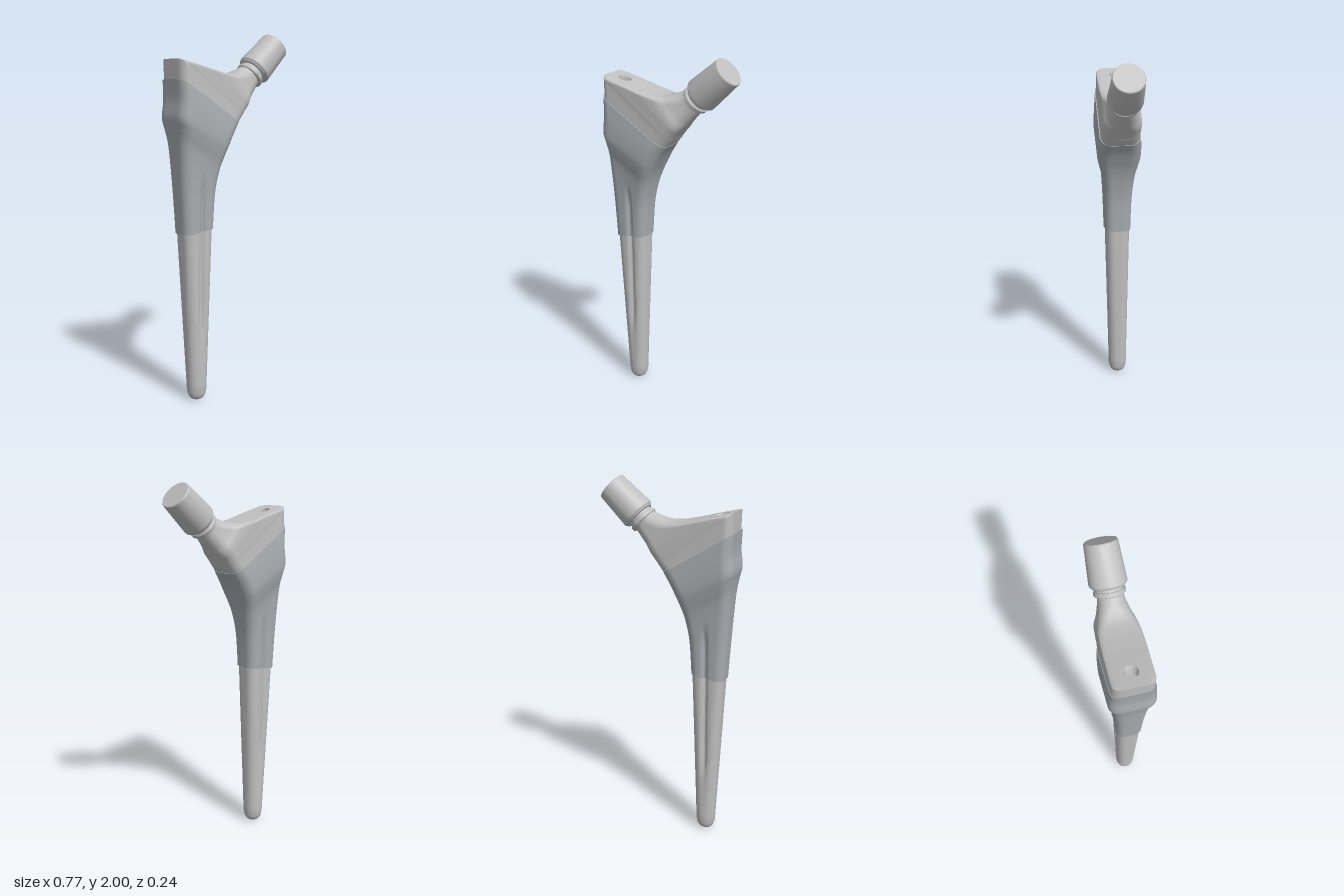
import * as THREE from 'three';
import { toCreasedNormals } from 'three/addons/utils/BufferGeometryUtils.js';

const steel = new THREE.MeshStandardMaterial({ color: 0xc0c0c0 });
steel.name = 'polished steel';
const coatingGrey = new THREE.MeshStandardMaterial({ color: 0xa8adb1 });
coatingGrey.name = 'coating grey';

const PATCH_HALF = 0.045;
const smooth = THREE.MathUtils.smoothstep;

// Long groove sunk into the front and back of the shaft
function groove(x, y) {
  const fade = smooth(y, 0.3, 0.5) * (1 - smooth(y, 1.12, 1.3));
  return 0.017 * fade * Math.exp(-(((x + 0.235) / 0.014) ** 2));
}

// One rounded-rectangle ring between a lateral and a medial point.
// Section: [lateral x, y, medial x, y, half depth, lateral radius, medial radius]
function ring([lx, ly, mx, my, d, rl, rm]) {
  const len = Math.hypot(mx - lx, my - ly);
  const a = Math.min(rl, d * 0.97, len * 0.49);
  const b = Math.min(rm, d * 0.97, len * 0.49);
  const half = [[0, Math.min(PATCH_HALF, 0.9 * (d - a))]];
  const arc = 8, side = 30;
  for (let k = 0; k <= arc; k++) {
    const t = (k / arc) * Math.PI / 2;
    half.push([a - a * Math.cos(t), d - a + a * Math.sin(t)]);
  }
  for (let k = 1; k < side; k++) half.push([a + (len - a - b) * k / side, d]);
  for (let k = 0; k <= arc; k++) {
    const t = (k / arc) * Math.PI / 2;
    half.push([len - b + b * Math.sin(t), d - b + b * Math.cos(t)]);
  }
  half.push([len, Math.min(PATCH_HALF, 0.9 * (d - b))]);
  const place = (u, z, s) => {
    const x = lx + (mx - lx) * u / len, y = ly + (my - ly) * u / len;
    const cut = z > 0.6 * d ? groove(x, y) : 0;
    return [x, y, s * (z - cut)];
  };
  return [
    ...half.map(([u, z]) => place(u, z, 1)),
    ...half.slice().reverse().map(([u, z]) => place(u, z, -1)),
  ];
}

// Smooth loft through sections; a repeated section makes a sharp corner.
// openSegment leaves out the lateral strip of that segment.
function loft(keys, steps, openSegment = -1) {
  const rows = [], open = [];
  const at = i => keys[Math.max(0, Math.min(keys.length - 1, i))];
  for (let s = 0; s < keys.length - 1; s++) {
    const [p0, p1, p2, p3] = [at(s - 1), at(s), at(s + 1), at(s + 2)];
    if (p1 === p2) continue;
    for (let k = 0; k < steps; k++) {
      const t = k / steps, t2 = t * t, t3 = t2 * t;
      rows.push(ring(p1.map((v, i) =>
        v * (2 * t3 - 3 * t2 + 1) + p2[i] * (3 * t2 - 2 * t3)
        + 0.5 * (p2[i] - p0[i]) * (t3 - 2 * t2 + t)
        + 0.5 * (p3[i] - v) * (t3 - t2))));
      open.push(s === openSegment);
    }
  }
  rows.push(ring(at(keys.length - 1)));
  const n = rows[0].length, index = [];
  const points = rows.flat();
  for (let i = 0; i < rows.length - 1; i++) {
    for (let j = 0; j < n; j++) {
      if (open[i] && j === n - 1) continue;
      const k = (j + 1) % n, p = i * n, q = p + n;
      index.push(p + j, p + k, q + k, p + j, q + k, q + j);
    }
  }
  // End caps
  [0, rows.length - 1].forEach((r, end) => {
    const c = points.length;
    points.push([0, 1, 2].map(a => rows[r].reduce((sum, p) => sum + p[a], 0) / n));
    for (let j = 0; j < n; j++) {
      const p = r * n + j, q = r * n + (j + 1) % n;
      if (end) index.push(c, p, q);
      else index.push(c, q, p);
    }
  });
  const geo = new THREE.BufferGeometry();
  geo.setAttribute('position', new THREE.Float32BufferAttribute(points.flat(), 3));
  geo.setIndex(index);
  return toCreasedNormals(geo, 0.65);
}

function part(name, geometry, material) {
  const mesh = new THREE.Mesh(geometry, material);
  mesh.name = name;
  return mesh;
}

function lathe(profile) {
  return toCreasedNormals(
    new THREE.LatheGeometry(profile.map(p => new THREE.Vector2(...p)), 56), 0.5);
}

export function createModel() {
  const group = new THREE.Group();
  group.name = 'hipStem';

  // Tapered shaft with a rounded tip
  const tipTop = [-0.287, 0.06, -0.18, 0.06, 0.053, 0.05, 0.05];
  const shaft = [
    [-0.255, 0, -0.215, 0, 0.02, 0.02, 0.02],
    [-0.272, 0.011, -0.197, 0.011, 0.037, 0.037, 0.037],
    [-0.283, 0.032, -0.185, 0.032, 0.048, 0.048, 0.048],
    tipTop, tipTop,
    [-0.331, 0.97, -0.151, 0.98, 0.067, 0.045, 0.045],
  ];
  group.add(part('shaft', loft(shaft, 18), steel));

  // Coated middle, flaring towards the shoulder
  const coating = [
    [-0.336, 0.942, -0.147, 0.965, 0.073, 0.047, 0.047],
    [-0.35, 1.18, -0.135, 1.15, 0.079, 0.05, 0.05],
    [-0.365, 1.41, -0.113, 1.27, 0.092, 0.055, 0.055],
    [-0.377, 1.5, -0.09, 1.345, 0.11, 0.06, 0.06],
    [-0.387, 1.56, -0.068, 1.395, 0.12, 0.06, 0.065],
    [-0.378, 1.65, -0.033, 1.46, 0.119, 0.06, 0.065],
    [-0.383, 1.755, 0.006, 1.516, 0.111, 0.055, 0.065],
  ];
  group.add(part('coatedBody', loft(coating, 8), coatingGrey));

  // Shoulder sweeping round into the neck
  const corner = [-0.378, 1.858, 0.035, 1.555, 0.104, 0.05, 0.06];
  const shoulder = [
    [-0.374, 1.72, -0.01, 1.5, 0.107, 0.05, 0.06],
    corner, corner,
    [-0.345, 1.8496, 0.045, 1.57, 0.105, 0.03, 0.06],
    [-0.24, 1.823, 0.062, 1.592, 0.105, 0.022, 0.06],
    [-0.15, 1.8, 0.077, 1.61, 0.105, 0.022, 0.06],
    [-0.06, 1.783, 0.092, 1.626, 0.1, 0.027, 0.065],
    [0, 1.785, 0.115, 1.651, 0.084, 0.04, 0.065],
    [0.06, 1.809, 0.157, 1.697, 0.067, 0.06, 0.06],
    [0.1, 1.828, 0.185, 1.728, 0.063, 0.062, 0.062],
  ];
  group.add(part('shoulderAndNeck', loft(shoulder, 8, 3), steel));

  // Blind socket in the sloping top face
  const [p, q] = [shoulder[3], shoulder[4]];
  const length = Math.hypot(q[0] - p[0], q[1] - p[1]) / 2;
  const rim = new THREE.Shape([[-1, -1], [1, -1], [1, 1], [-1, 1]]
    .map(([x, y]) => new THREE.Vector2(x * length, y * PATCH_HALF)));
  rim.holes.push(new THREE.Path().absarc(0, 0, 0.036, 0, Math.PI * 2, true));
  const socket = new THREE.Group();
  socket.name = 'socket';
  socket.add(
    part('socketRim', new THREE.ShapeGeometry(rim, 28).rotateX(-Math.PI / 2), steel),
    part('socketWall', lathe([[0.036, 0], [0.033, -0.006], [0.033, -0.07], [0, -0.07]]), steel));
  socket.position.set((p[0] + q[0]) / 2, (p[1] + q[1]) / 2, 0);
  socket.rotation.z = Math.atan2(q[1] - p[1], q[0] - p[0]);
  group.add(socket);

  // Collar and tapered trunnion on the neck axis
  const trunnion = part('trunnion', lathe([
    [0.06, -0.048], [0.073, -0.048], [0.079, -0.042], [0.079, -0.028], [0.074, -0.022],
    [0.07, -0.022], [0.07, -0.01], [0.08, -0.008], [0.092, 0.006], [0.093, 0.014],
    [0.082, 0.206], [0.078, 0.211], [0, 0.211],
  ]), steel);
  trunnion.position.set(0.172, 1.8, 0);
  trunnion.rotation.z = -THREE.MathUtils.degToRad(48);
  group.add(trunnion);

  return group;
}
